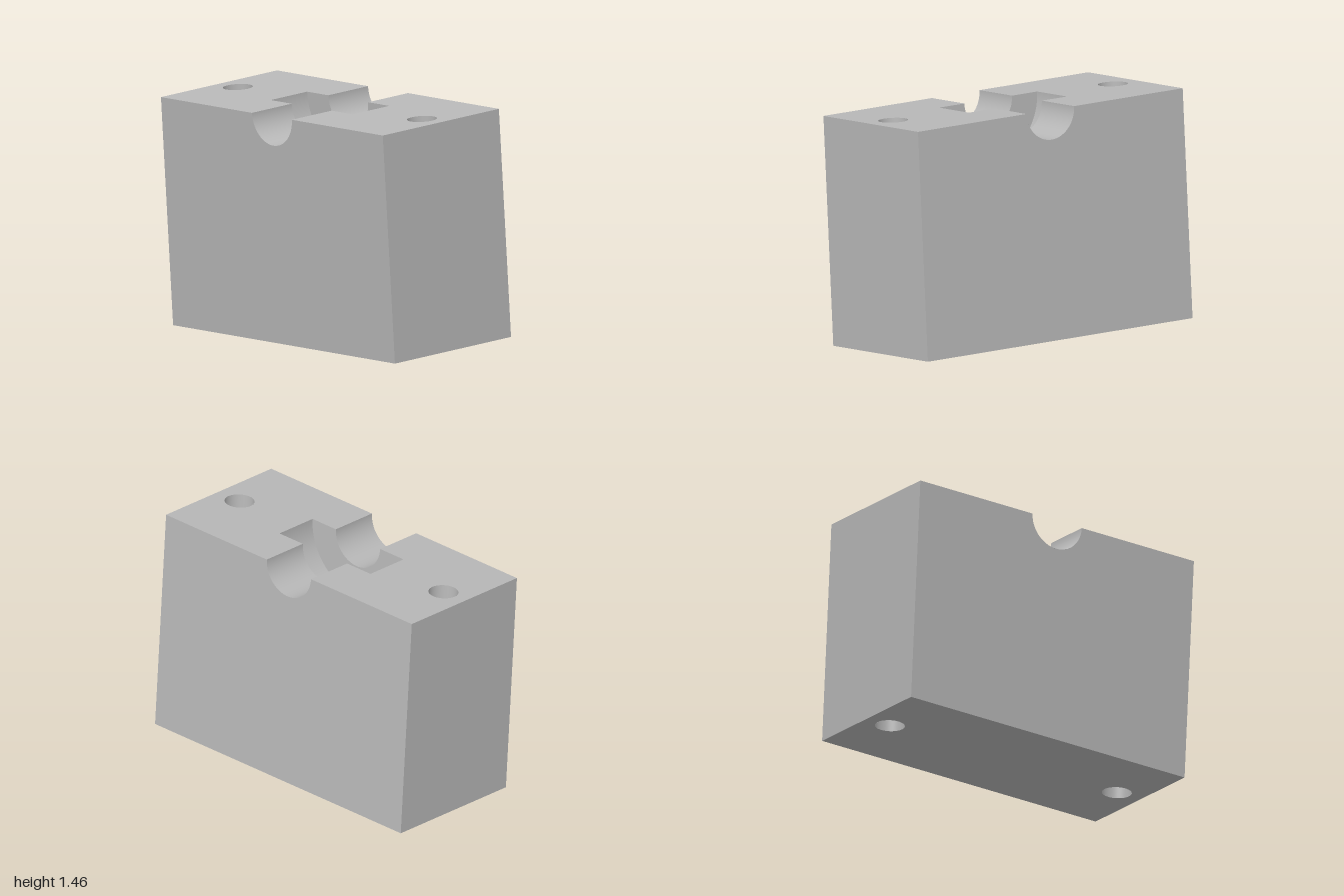
import * as THREE from 'three';

const W = 1, H = 0.699, D = 0.4675;      // block half sizes
const GROOVE = 0.18, POCKET = 0.37;      // radii of shaft groove and wider pocket
const PZ = 0.147;                        // pocket half length
const HOLE_X = 0.83, HOLE_R = 0.09;      // bolt holes
const TILT = THREE.MathUtils.degToRad(4);

const outline = (pts) => new THREE.Shape(pts.map(([x, y]) => new THREE.Vector2(x, y)));

function addHole(shape, x) {
  const path = new THREE.Path();
  path.absarc(x, 0, HOLE_R, 0, Math.PI * 2, true);
  shape.holes.push(path);
}

// lower half of a cylinder wall lying along z, open at the top
function trough(radius, length) {
  return new THREE.CylinderGeometry(radius, radius, length, 48, 1, true, -Math.PI / 2, Math.PI)
    .rotateX(Math.PI / 2);
}

export function createModel() {
  const grey = new THREE.MeshStandardMaterial({ color: 0xb8b8b8, side: THREE.DoubleSide });
  grey.name = 'plain grey';

  const block = new THREE.Group();
  block.name = 'bearingBlock';
  const add = (parent, name, geometry, x = 0, y = 0, z = 0) => {
    const mesh = new THREE.Mesh(geometry, grey);
    mesh.name = name;
    mesh.position.set(x, y, z);
    parent.add(mesh);
  };

  // end face with the groove cut out of its top edge
  const endFace = new THREE.Shape();
  endFace.moveTo(-W, -H).lineTo(W, -H).lineTo(W, H).lineTo(GROOVE, H);
  endFace.absarc(0, H, GROOVE, 0, -Math.PI, true);
  endFace.lineTo(-W, H);

  // half of the top, stepped around groove and pocket
  const topHalf = outline([
    [GROOVE, -D], [W, -D], [W, D], [GROOVE, D],
    [GROOVE, PZ], [POCKET, PZ], [POCKET, -PZ], [GROOVE, -PZ],
  ]);
  addHole(topHalf, HOLE_X);

  // pocket end wall: half ring between the two radii
  const wall = new THREE.Shape();
  wall.absarc(0, 0, POCKET, -Math.PI, 0, false);
  wall.absarc(0, 0, GROOVE, 0, -Math.PI, true);

  // two identical halves, the second turned half a turn
  for (const turn of [0, Math.PI]) {
    const half = new THREE.Group();
    half.name = turn ? 'backHalf' : 'frontHalf';
    half.rotation.y = turn;
    add(half, 'endFace', new THREE.ShapeGeometry(endFace, 48), 0, 0, D);
    add(half, 'sideFace', new THREE.PlaneGeometry(2 * D, 2 * H).rotateY(Math.PI / 2), W);
    add(half, 'topFace', new THREE.ShapeGeometry(topHalf, 48).rotateX(-Math.PI / 2), 0, H);
    add(half, 'shaftGroove', trough(GROOVE, D - PZ), 0, H, (D + PZ) / 2);
    add(half, 'pocketWall', new THREE.ShapeGeometry(wall, 48).rotateY(Math.PI), 0, H, PZ);
    add(half, 'boltHole',
      new THREE.CylinderGeometry(HOLE_R, HOLE_R, 2 * H, 48, 1, true), HOLE_X);
    block.add(half);
  }

  add(block, 'bearingPocket', trough(POCKET, 2 * PZ), 0, H);

  // underside with both bolt holes
  const base = outline([[-W, -D], [W, -D], [W, D], [-W, D]]);
  addHole(base, HOLE_X);
  addHole(base, -HOLE_X);
  add(block, 'bottomFace', new THREE.ShapeGeometry(base, 48).rotateX(Math.PI / 2), 0, -H);

  // the whole block leans forward, resting on its front lower edge
  block.rotation.x = TILT;
  block.position.y = H * Math.cos(TILT) + D * Math.sin(TILT);

  const model = new THREE.Group();
  model.name = 'model';
  model.add(block);
  return model;
}
